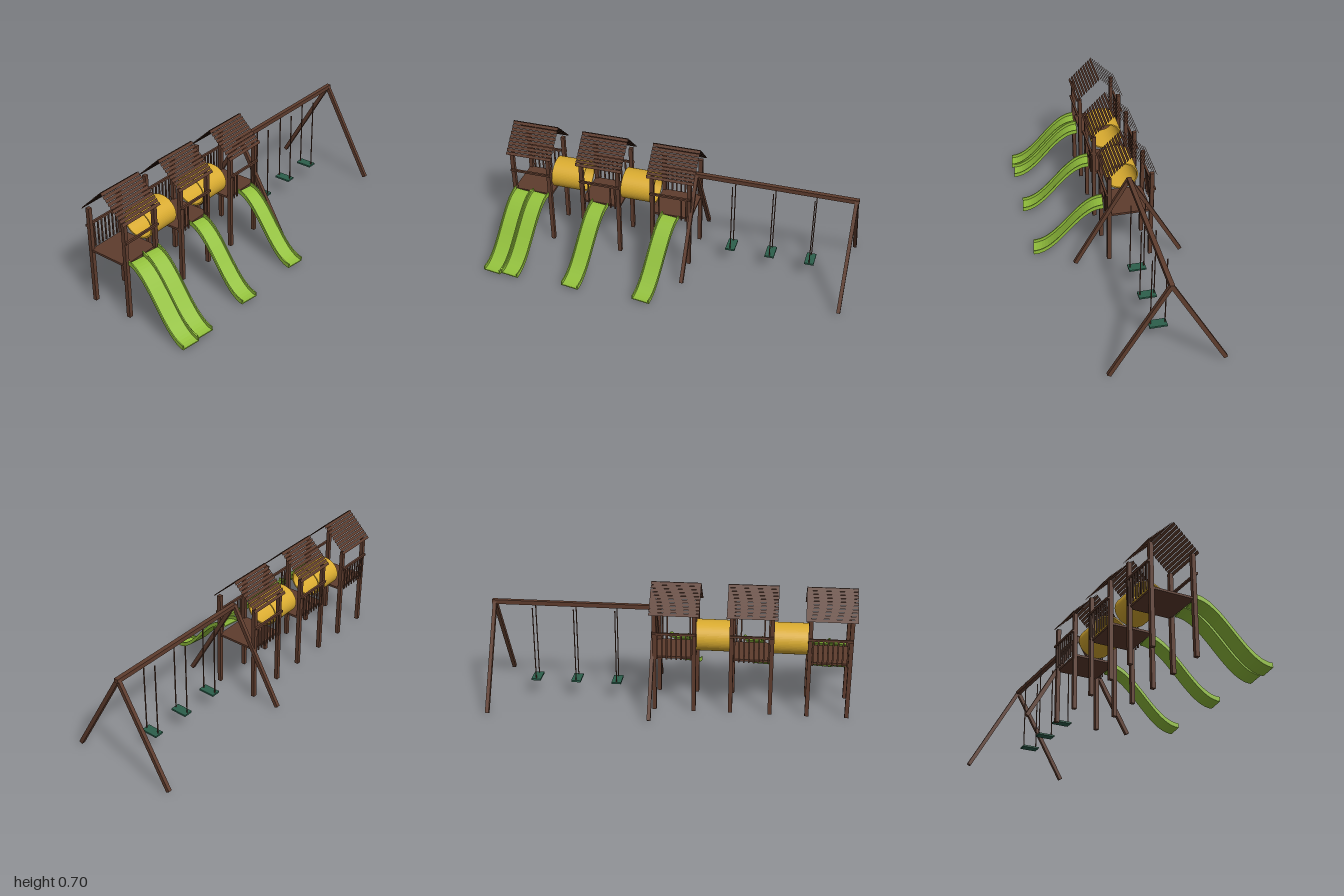
import * as THREE from 'three';

const mat = (name, color, side = THREE.FrontSide) => {
  const m = new THREE.MeshStandardMaterial({ color, side });
  m.name = name;
  return m;
};

export function createModel() {
  const root = new THREE.Group();
  root.name = 'playground';
  const wood = mat('brown wood', 0x5e3c2d);
  const shingle = mat('roof wood', 0x5e3c2d, THREE.DoubleSide);
  const green = mat('slide green', 0x92c03c);
  const yellow = mat('tunnel yellow', 0xd9ab30);
  const teal = mat('seat green', 0x2c5f4c);

  const add = (parent, name, geo, material, x = 0, y = 0, z = 0) => {
    const m = new THREE.Mesh(geo, material);
    m.name = name;
    m.position.set(x, y, z);
    parent.add(m);
    return m;
  };
  const box = (parent, name, material, w, h, d, x, y, z) =>
    add(parent, name, new THREE.BoxGeometry(w, h, d), material, x, y, z);

  const midZ = -0.115, half = 0.1075;
  const towerX = [-0.8475, -0.4325, -0.0175];

  // Slide: a U section extruded forward, then dropped along a smooth S curve
  const w = 0.0525, t = 0.006, wall = 0.025;
  const section = new THREE.Shape([
    [-w, 0], [w, 0], [w, wall], [w - t, wall], [w - t, t], [t - w, t], [t - w, wall], [-w, wall],
  ].map(([x, y]) => new THREE.Vector2(x, y)));
  const run = 0.4;
  const slideGeo = new THREE.ExtrudeGeometry(section, { depth: run, steps: 24, bevelEnabled: false });
  const p = slideGeo.attributes.position;
  for (let i = 0; i < p.count; i++) {
    p.setY(i, p.getY(i) + 0.01 + 0.307 * (0.5 + 0.5 * Math.cos(Math.PI * p.getZ(i) / run)));
  }
  slideGeo.computeVertexNormals();
  const addSlide = (x) => {
    const s = add(root, 'slide', slideGeo, green, x + 0.002, 0, 0.018);
    s.rotation.y = -0.139;
  };

  // Railing along x with balusters, leaving room for a slide of half-width gap
  const addRailing = (parent, z, gap) => {
    box(parent, 'rail', wood, 0.236, 0.012, 0.012, 0, 0.453, z);
    for (let i = 0; i < 8; i++) {
      const x = -0.091 + i * 0.026;
      if (Math.abs(x) > gap) box(parent, 'baluster', wood, 0.008, 0.145, 0.006, x, 0.379, z);
    }
  };

  // Gabled roof of overlapping steep slats
  const rows = 10, rise = 0.14 / rows, reach = 0.145 / rows;
  const slatGeo = new THREE.PlaneGeometry(0.27, 0.0175).rotateX(-Math.PI / 6);
  const addRoof = (parent) => {
    for (const side of [0, 1]) {
      const slope = new THREE.Group();
      slope.name = 'roofSlope';
      slope.position.z = midZ;
      slope.rotation.y = side * Math.PI;
      for (let i = 0; i < rows; i++) {
        add(slope, 'roofSlat', slatGeo, shingle, 0, 0.695 - (i + 0.5) * rise + 0.004, (i + 0.5) * reach);
      }
      parent.add(slope);
    }
  };

  // Three towers
  towerX.forEach((x, i) => {
    const tower = new THREE.Group();
    tower.name = 'tower';
    tower.position.x = x;
    root.add(tower);
    for (const px of [-half, half]) {
      for (const pz of [0.005, -0.234]) box(tower, 'post', wood, 0.022, 0.56, 0.022, px, 0.28, pz);
    }
    box(tower, 'floor', wood, 0.23, 0.012, 0.236, 0, 0.311, midZ);
    addRailing(tower, -0.25, 0);
    addRailing(tower, 0.02, i === 0 ? 1 : 0.056);
    addRoof(tower);
    (i === 0 ? [-0.053, 0.053] : [0]).forEach((dx) => addSlide(x + dx));
  });

  // Oval tunnels joining neighbouring towers
  const ring = new THREE.Shape().absellipse(0, 0, 0.096, 0.084, 0, Math.PI * 2, false, 0);
  ring.holes.push(new THREE.Path().absellipse(0, 0, 0.088, 0.076, 0, Math.PI * 2, true, 0));
  const tunnelGeo = new THREE.ExtrudeGeometry(ring, { depth: 0.19, curveSegments: 32, bevelEnabled: false });
  tunnelGeo.translate(0, 0, -0.095).rotateY(Math.PI / 2);
  for (let i = 0; i < 2; i++) {
    add(root, 'tunnel', tunnelGeo, yellow, (towerX[i] + towerX[i + 1]) / 2, 0.402, -0.116);
  }

  // Swing frame: beam and two pairs of splayed legs
  const beamZ = -0.102;
  box(root, 'swingBeam', wood, 0.9, 0.024, 0.024, 0.55, 0.546, beamZ);
  const dy = 0.535, dz = 0.305;
  for (const x of [0.102, 0.986]) {
    for (const s of [-1, 1]) {
      const leg = box(root, 'swingLeg', wood, 0.02, Math.hypot(dy, dz), 0.022,
        x, 0.012 + dy / 2, beamZ + s * dz / 2);
      leg.rotation.x = -s * Math.atan2(dz, dy);
    }
  }

  // Three swings
  for (const x of [0.315, 0.543, 0.77]) {
    box(root, 'swingSeat', teal, 0.053, 0.01, 0.096, x, 0.1, beamZ);
    for (const s of [-1, 1]) {
      box(root, 'swingRope', wood, 0.005, 0.43, 0.005, x, 0.314, beamZ + s * 0.039);
    }
  }
  return root;
}
